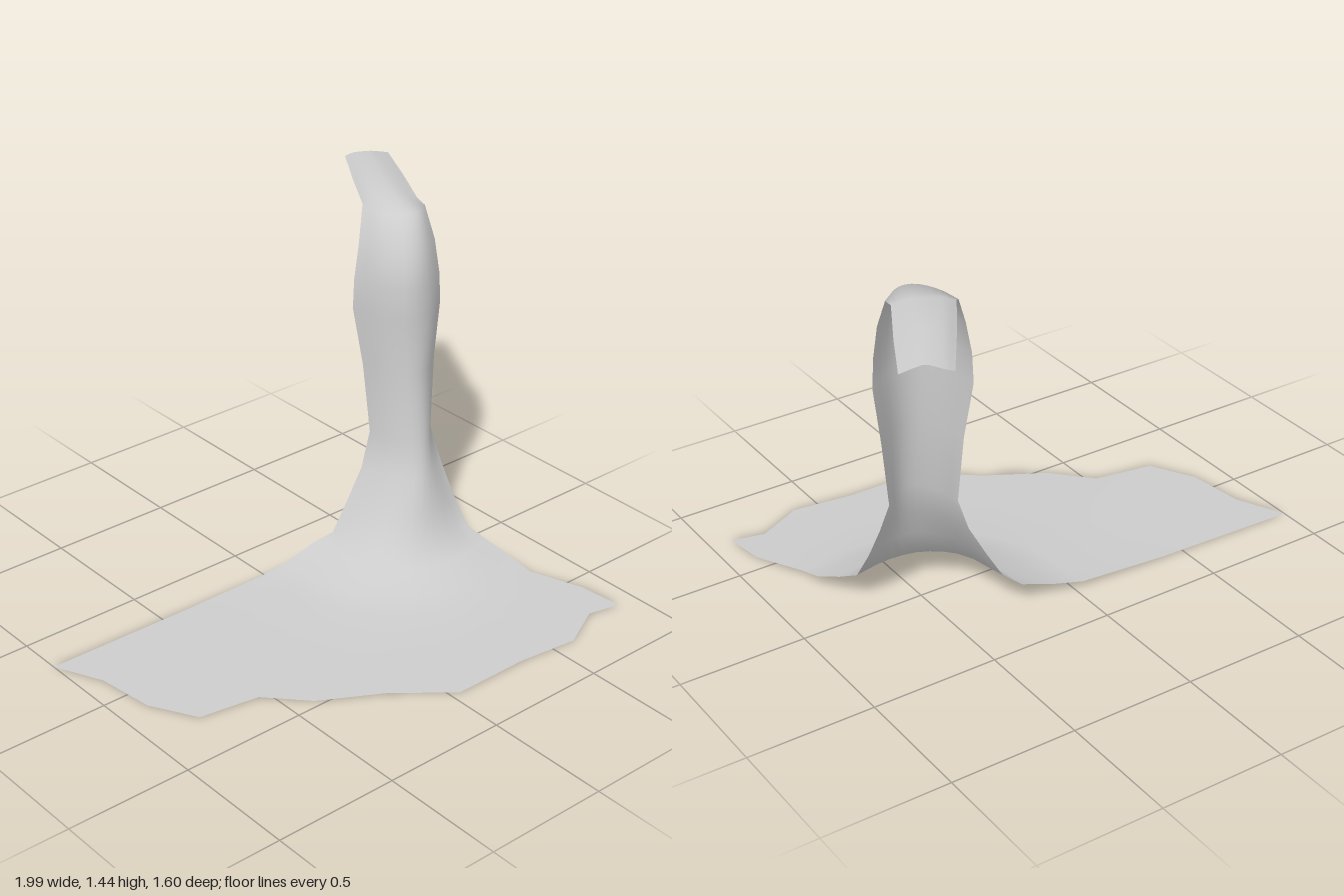
import * as THREE from 'three';

// Cross-sections of the water sheet, from its right-hand bank (-x) to its left-hand bank (+x)
const stream = [
  [[.83, 1.41, -.80], [.86, 1.42, -.79], [.905, 1.43, -.745], [.935, 1.425, -.735], [.99, 1.41, -.72]],
  [[.69, 1.41, -.59], [.73, 1.435, -.585], [.79, 1.445, -.56], [.83, 1.435, -.535], [.88, 1.41, -.51]],
  [[.56, 1.41, -.385], [.61, 1.435, -.385], [.68, 1.445, -.365], [.71, 1.435, -.33], [.76, 1.41, -.295]],
];
const crest = [
  [[.54, 1.40, -.365], [.56, 1.405, -.27], [.61, 1.41, -.20], [.67, 1.41, -.19], [.75, 1.40, -.24]],
];

// Level sections of the falling column: height, then [x, z] points
const fall = [
  [1.28, [.485, -.32], [.50, -.20], [.56, -.12], [.64, -.11], [.75, -.18]],
  [1.15, [.455, -.31], [.48, -.185], [.545, -.09], [.64, -.085], [.755, -.155]],
  [1.03, [.45, -.31], [.48, -.18], [.55, -.09], [.64, -.08], [.76, -.15]],
  [.80, [.465, -.265], [.49, -.16], [.55, -.08], [.62, -.07], [.73, -.145]],
  [.52, [.47, -.225], [.49, -.12], [.55, -.04], [.61, -.035], [.69, -.115]],
  [.38, [.42, -.215], [.46, -.09], [.53, 0], [.60, 0], [.695, -.05]],
  [.25, [.35, -.22], [.395, -.05], [.485, .045], [.59, .055], [.71, .01]],
  [.13, [.28, -.225], [.33, -.02], [.44, .08], [.58, .105], [.725, .08]],
  [.09, [.22, -.265], [.26, 0], [.40, .15], [.57, .19], [.755, .16]],
  [.045, [.08, -.275], [.13, .04], [.33, .25], [.56, .31], [.79, .27]],
  [.02, [-.04, -.29], [.03, .10], [.28, .34], [.56, .40], [.80, .37]],
  [.006, [-.40, -.305], [-.25, .19], [.12, .48], [.50, .59], [.89, .57]],
];

// Ragged outer shore of the pool
const shore = [0, [-1, -.32], [-.91, -.13], [-.88, .10], [-.78, .28], [-.54, .32], [-.40, .47],
  [-.17, .60], [.04, .77], [.35, .77], [.60, .80], [.78, .71], [.91, .74]];

const level = ([y, ...points]) => points.map(([x, z]) => [x, y, z]);

// Skin a sheet over the sections, each resampled to the same number of points
function loft(sections, segments) {
  const positions = [], index = [];
  sections.forEach((section, j) => {
    const curve = new THREE.CatmullRomCurve3(section.map(p => new THREE.Vector3(...p)));
    for (let i = 0; i <= segments; i++) {
      positions.push(...curve.getPoint(i / segments).toArray());
      if (j === 0 || i === 0) continue;
      const d = j * (segments + 1) + i, c = d - 1;
      const b = d - segments - 1, a = b - 1;
      index.push(a, c, b, b, c, d);
    }
  });
  const geometry = new THREE.BufferGeometry();
  geometry.setAttribute('position', new THREE.Float32BufferAttribute(positions, 3));
  geometry.setIndex(index);
  geometry.computeVertexNormals();
  return geometry;
}

export function createModel() {
  const group = new THREE.Group();
  group.name = 'waterfall';
  const material = new THREE.MeshStandardMaterial({ color: 0xcccccc, side: THREE.DoubleSide });

  // One continuous sheet: upper stream, curved fall and spreading pool
  const sections = [...stream, ...crest, ...fall.map(level), level(shore)];
  const sheet = new THREE.Mesh(loft(sections, 11), material);
  sheet.name = 'waterSheet';
  group.add(sheet);
  return group;
}
